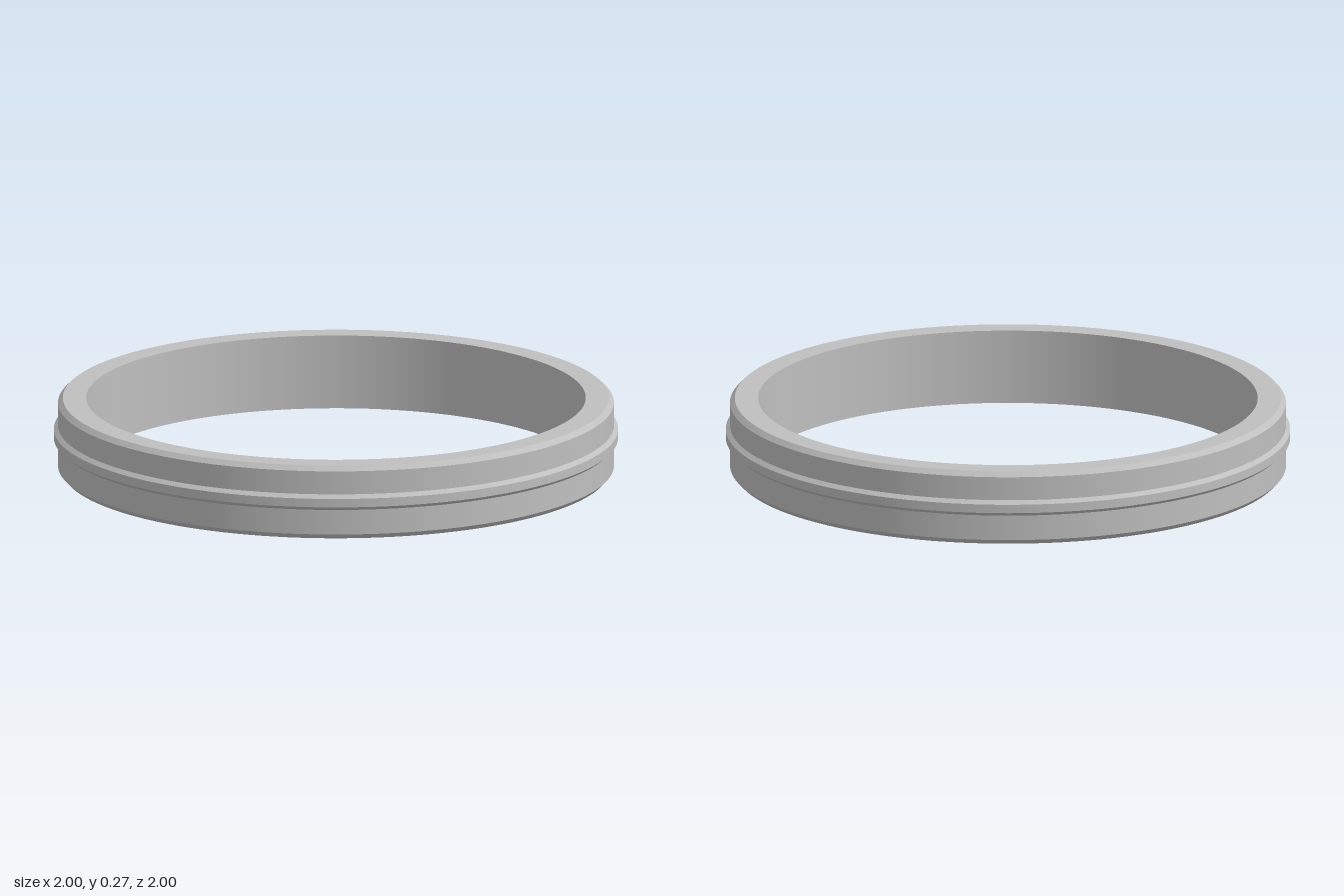
import * as THREE from 'three';
import { mergeGeometries } from 'three/addons/utils/BufferGeometryUtils.js';

const SEGMENTS = 128;

// Revolve each profile segment on its own: smooth around, sharp between facets
function revolve(profile) {
  const strips = [];
  for (let i = 0; i < profile.length - 1; i++) {
    const pair = [profile[i], profile[i + 1]].map(([r, y]) => new THREE.Vector2(r, y));
    strips.push(new THREE.LatheGeometry(pair, SEGMENTS));
  }
  return mergeGeometries(strips);
}

export function createModel() {
  const group = new THREE.Group();
  group.name = 'ring';
  const metal = new THREE.MeshStandardMaterial({ color: 0xbfbfbf });
  metal.name = 'grey metal';

  const add = (name, profile) => {
    const mesh = new THREE.Mesh(revolve(profile), metal);
    mesh.name = name;
    group.add(mesh);
  };

  // Main band: [radius, height], chamfered outer edges, straight bore
  add('band', [
    [0.885, 0], [0.968, 0], [0.985, 0.018], [0.985, 0.249],
    [0.968, 0.266], [0.885, 0.266], [0.885, 0],
  ]);

  // Raised bead around the outside
  add('bead', [[0.985, 0.108], [1, 0.121], [1, 0.152], [0.985, 0.165]]);

  return group;
}
